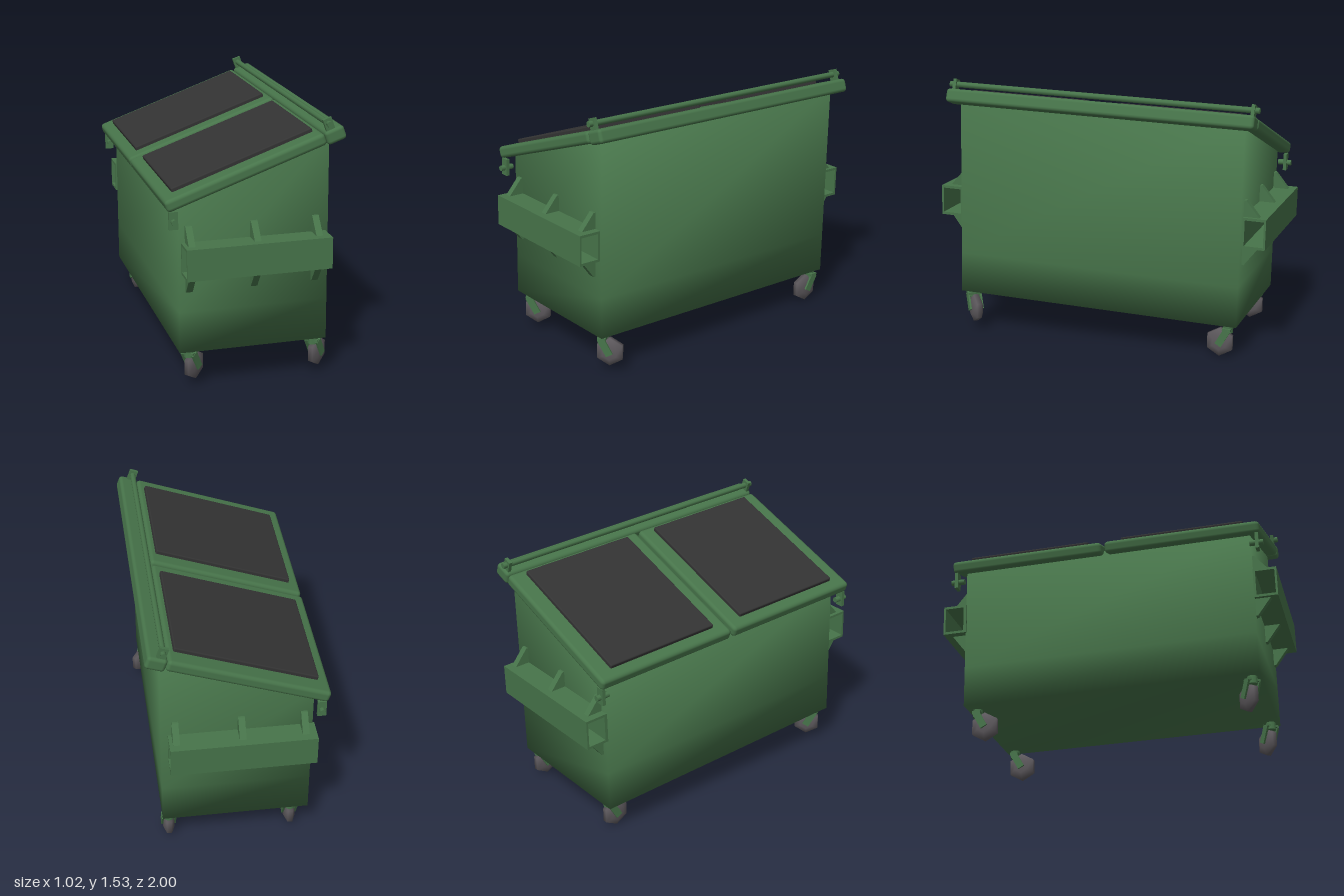
import * as THREE from 'three';
import { RoundedBoxGeometry } from 'three/addons/geometries/RoundedBoxGeometry.js';

export function createModel() {
  const model = new THREE.Group();
  model.name = 'wasteContainer';
  const mat = (name, color) => {
    const m = new THREE.MeshStandardMaterial({ color });
    m.name = name;
    return m;
  };
  const green = mat('greenPaint', 0x47744a);
  const black = mat('blackPlastic', 0x333333);
  const grey = mat('greyRubber', 0x5c585c);

  const add = (parent, name, geo, material, x = 0, y = 0, z = 0) => {
    const m = new THREE.Mesh(geo, material);
    m.name = name;
    m.position.set(x, y, z);
    parent.add(m);
    return m;
  };

  // The container leans slightly towards its back casters
  const lean = new THREE.Group();
  lean.name = 'container';
  lean.rotation.x = -0.024;
  lean.position.z = 0.017;
  model.add(lean);

  // Height of the sloping lid plane at a given x
  const slope = 0.355;
  const lidY = (x) => 1.285 + (x + 0.0125) * slope;

  // Body: three rings with shared corners, so the shading runs smoothly round it
  const corners = [[-0.415, 0.86], [0.44, 0.86], [0.44, -0.86], [-0.415, -0.86]];
  const pos = [], idx = [];
  for (const level of [() => 0.21, () => 0.45, (x) => lidY(x) - 0.045])
    for (const [x, z] of corners) pos.push(x, level(x), z);
  for (let r = 0; r < 8; r += 4)
    for (let i = 0; i < 4; i++) {
      const a = r + i, b = r + (i + 1) % 4;
      idx.push(a, b, b + 4, a, b + 4, a + 4);
    }
  idx.push(8, 9, 10, 8, 10, 11, 0, 2, 1, 0, 3, 2);
  const body = new THREE.BufferGeometry();
  body.setAttribute('position', new THREE.Float32BufferAttribute(pos, 3));
  body.setIndex(idx);
  body.computeVertexNormals();
  add(lean, 'body', body, green);

  // Lids and hinge rail share the sloping plane
  const top = new THREE.Group();
  top.name = 'lids';
  top.position.set(-0.0125, 1.285, 0);
  top.rotation.z = Math.atan(slope);
  lean.add(top);
  for (const s of [1, -1]) {
    add(top, 'lidFrame', new RoundedBoxGeometry(0.95, 0.07, 0.915, 2, 0.022), green, -0.048, -0.035, s * 0.4675);
    add(top, 'lidPanel', new RoundedBoxGeometry(0.844, 0.04, 0.725, 2, 0.008), black, -0.03, 0.003, s * 0.4625);
  }
  add(top, 'hingeRail', new RoundedBoxGeometry(0.115, 0.08, 1.85, 2, 0.02), green, 0.485, -0.04, 0);

  // Hinge rod with end brackets along the high edge
  const rod = (r, len) => new THREE.CylinderGeometry(r, r, len, 8).rotateX(Math.PI / 2);
  add(top, 'hingeRod', rod(0.017, 1.87), green, 0.47, 0.035, 0);
  for (const s of [1, -1]) {
    add(top, 'hingeBracket', new THREE.BoxGeometry(0.05, 0.07, 0.02), green, 0.47, 0.03, s * 0.9);
    // Latch brackets and pins under the low edge
    add(lean, 'latchBracket', new THREE.BoxGeometry(0.05, 0.1, 0.02), green, -0.452, 1.0, s * 0.905);
    add(lean, 'latchPin', rod(0.017, 0.08), green, -0.452, 0.995, s * 0.9);
  }

  // Extrudes a (z, y) outline along x, centred on x = 0
  const alongX = (points, width, hole) => {
    const shape = new THREE.Shape(points.map((p) => new THREE.Vector2(...p)));
    if (hole) shape.holes.push(new THREE.Path(hole.map((p) => new THREE.Vector2(...p))));
    return new THREE.ExtrudeGeometry(shape, { depth: width, bevelEnabled: false })
      .translate(0, 0, -width / 2).rotateY(-Math.PI / 2);
  };
  const rect = (z0, z1, y0, y1) => [[z0, y0], [z1, y0], [z1, y1], [z0, y1]];

  // Lifting pockets with gussets on both ends
  for (const turn of [0, Math.PI]) {
    const pocket = new THREE.Group();
    pocket.name = 'liftingPocket';
    pocket.rotation.y = turn;
    lean.add(pocket);
    add(pocket, 'pocketSleeve',
      alongX(rect(0.855, 0.996, 0.675, 0.855), 0.825, rect(0.873, 0.984, 0.69, 0.84)), green, 0.0125);
    for (const x of [-0.36, 0.01, 0.363]) {
      add(pocket, 'upperGusset', alongX([[0.85, 0.85], [0.955, 0.85], [0.872, 0.95], [0.85, 0.95]], 0.038), green, x);
      add(pocket, 'lowerGusset', alongX([[0.85, 0.57], [0.872, 0.57], [0.955, 0.68], [0.85, 0.68]], 0.038), green, x);
    }
  }

  // Casters: stem, two fork arms and a six-sided bevelled wheel
  const profile = [[0, -0.032], [0.045, -0.032], [0.085, -0.014], [0.085, 0.014], [0.045, 0.032], [0, 0.032]];
  const wheel = new THREE.LatheGeometry(profile.map((p) => new THREE.Vector2(...p)), 6, Math.PI / 6)
    .rotateZ(Math.PI / 2);
  const stem = new THREE.CylinderGeometry(0.03, 0.03, 0.05, 8);
  const arm = new THREE.BoxGeometry(0.012, 0.11, 0.042);
  const fork = new THREE.BoxGeometry(0.08, 0.014, 0.05);
  for (const [x, z, turn] of [[-0.35, 0.81, 2.3], [0.38, 0.81, 2.3], [-0.32, -0.805, 0], [0.4, -0.805, 0]]) {
    const caster = new THREE.Group();
    caster.name = 'caster';
    caster.position.set(x, 0, z);
    caster.rotation.y = turn;
    lean.add(caster);
    add(caster, 'casterStem', stem, green, 0, 0.19, 0);
    add(caster, 'forkCrown', fork, green, 0, 0.187, 0.002);
    for (const s of [1, -1])
      add(caster, 'forkArm', arm, green, s * 0.037, 0.14, 0.022).rotation.x = -0.5;
    add(caster, 'wheel', wheel, grey, 0, 0.103, 0.045);
  }
  return model;
}
